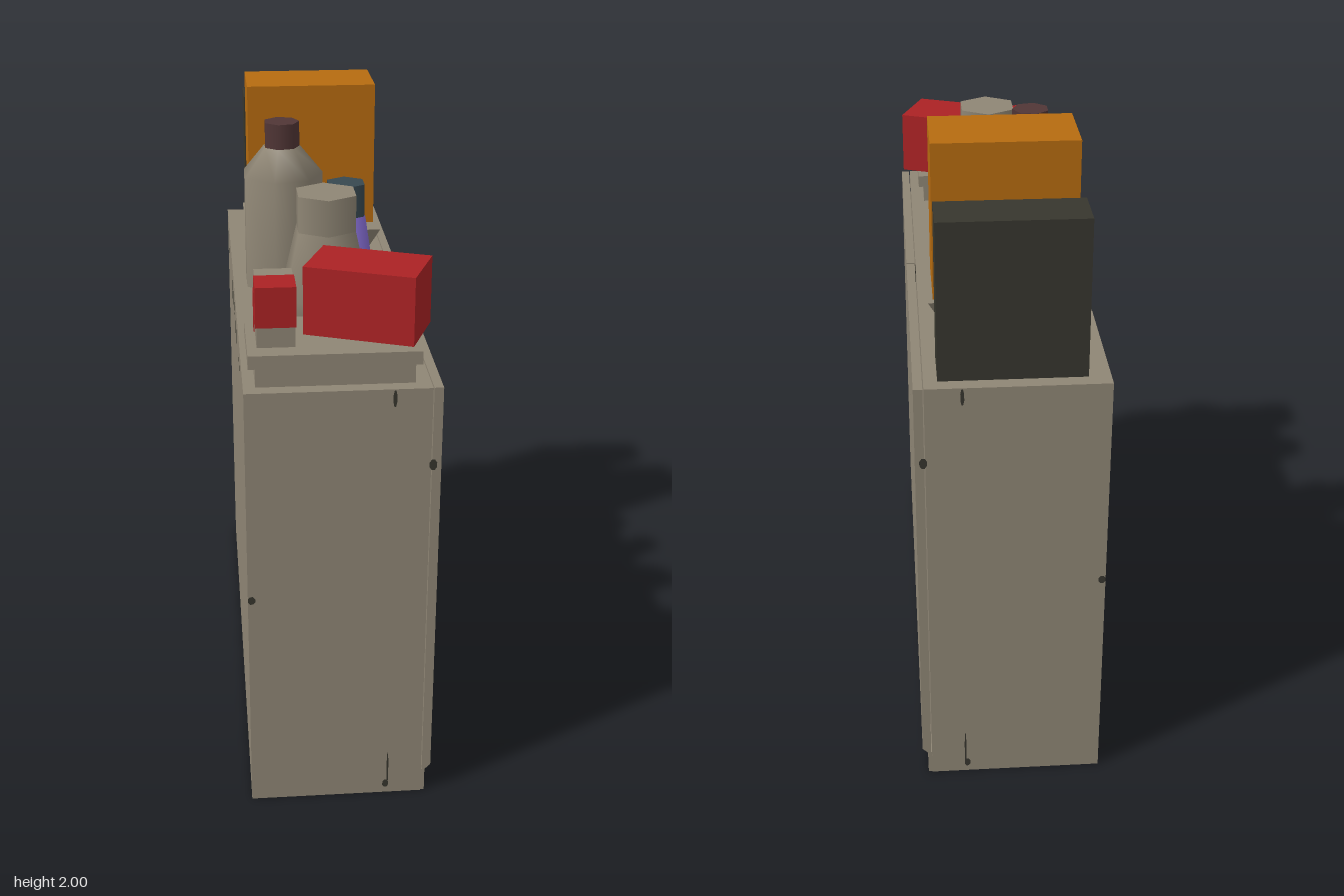
import * as THREE from 'three';

const mat = (name, color) => {
  const m = new THREE.MeshStandardMaterial({ color });
  m.name = name;
  return m;
};

export function createModel() {
  const root = new THREE.Group();
  root.name = 'stockedCabinet';

  const stone = mat('warmGrey', 0x8f8675);
  const dark = mat('charcoal', 0x37362e);
  const orange = mat('orange', 0xb66b10);
  const red = mat('red', 0xab2224);
  const purple = mat('purple', 0x7c65c6);
  const slate = mat('slate', 0x374850);
  const brown = mat('brown', 0x513636);

  const add = (name, geometry, material, parent = root) => {
    const m = new THREE.Mesh(geometry, material);
    m.name = name;
    parent.add(m);
    return m;
  };
  // box given by its minimum and maximum on each axis
  const box = (name, material, x0, x1, y0, y1, z0, z1, parent = root) => {
    const m = add(name, new THREE.BoxGeometry(x1 - x0, y1 - y0, z1 - z0), material, parent);
    m.position.set((x0 + x1) / 2, (y0 + y1) / 2, (z0 + z1) / 2);
    return m;
  };

  // cabinet body and plinth
  box('cabinetBody', stone, -0.285, 0.25, 0, 1.4, -0.875, 0.878);
  box('plinth', stone, 0.25, 0.262, 0, 0.08, -0.872, 0.875);

  // two doors with a bevelled lower edge
  const profile = new THREE.Shape([
    [0.253, 0.08], [0.262, 0.08], [0.28, 0.098], [0.28, 1.4], [0.253, 1.4],
  ].map(([x, y]) => new THREE.Vector2(x, y)));
  const doorGeometry = new THREE.ExtrudeGeometry(profile, { depth: 0.872, bevelEnabled: false });
  add('doorLeft', doorGeometry, stone).position.z = 0.004;
  add('doorRight', doorGeometry, stone).position.z = -0.876;
  box('doorGap', dark, 0.25, 0.256, 0.08, 1.395, -0.004, 0.004);

  // worn chips: flat patches on the cabinet faces
  const chip = (x, y, z, w, h, turn) => {
    const m = add('chip', new THREE.CircleGeometry(0.5, 8, Math.PI / 8), dark);
    m.position.set(x, y, z);
    m.rotation.y = turn;
    m.scale.set(w, h, 1);
  };
  for (const [z, y, w, h] of [
    [0.58, 0.165, 0.057, 0.043], [0.445, 0.165, 0.09, 0.043],
    [-0.44, 0.165, 0.09, 0.043], [-0.575, 0.165, 0.057, 0.043],
    [0.355, 1.145, 0.008, 0.018], [-0.35, 1.145, 0.008, 0.018],
  ]) chip(0.282, y, z, w, h, Math.PI / 2);
  for (const [z, y, w, h] of [
    [-0.53, 1.34, 0.06, 0.04], [-0.21, 1.32, 0.11, 0.07], [0, 1.345, 0.2, 0.05],
    [0.22, 1.325, 0.12, 0.09], [0.54, 1.35, 0.06, 0.04], [-0.86, 0.73, 0.025, 0.03],
  ]) chip(-0.287, y, z, w, h, -Math.PI / 2);
  for (const [x, y, w, h] of [
    [0.142, 1.372, 0.012, 0.055], [0.256, 1.16, 0.024, 0.036],
    [-0.274, 0.73, 0.024, 0.028], [0.137, 0.035, 0.02, 0.03], [0.143, 0.09, 0.006, 0.14],
  ]) {
    chip(x, y, 0.88, w, h, 0);
    chip(x, y, -0.877, w, h, Math.PI);
  }

  // tall boxes
  box('darkBox', dark, -0.22, 0.21, 1.4, 1.88, -0.83, -0.675);
  box('orangeBox', orange, -0.22, 0.21, 1.515, 2, -0.54, -0.295);

  // flared tray under the orange box
  const flared = new THREE.BoxGeometry(0.46, 0.12, 0.36);
  const p = flared.attributes.position;
  for (let i = 0; i < p.count; i++) {
    if (p.getY(i) < 0) p.setXYZ(i, p.getX(i) * 0.74, p.getY(i), p.getZ(i) * 0.7);
  }
  flared.computeVertexNormals();
  add('flaredTray', flared, stone).position.set(-0.005, 1.46, -0.387);

  // bottles: turned body plus a closed straight top
  const bottle = (name, x, z, sides, points, bodyMat, topRadius, y0, y1, topMat) => {
    const g = new THREE.Group();
    g.name = name;
    g.position.set(x, 0, z);
    root.add(g);
    add('bottleBody', new THREE.LatheGeometry(
      points.map(([r, y]) => new THREE.Vector2(r, y)), sides), bodyMat, g);
    add('bottleTop', new THREE.CylinderGeometry(topRadius, topRadius, y1 - y0, sides), topMat, g)
      .position.y = (y0 + y1) / 2;
    return g;
  };
  bottle('largeBottle', -0.12, -0.057, 7,
    [[0.134, 1.4], [0.134, 1.77], [0.06, 1.86]], stone, 0.058, 1.855, 1.94, brown)
    .rotation.y = Math.PI / 2;
  bottle('purpleBottle', 0.077, 0.072, 6,
    [[0.09, 1.4], [0.1, 1.49], [0.07, 1.665], [0, 1.665]], purple, 0.066, 1.66, 1.77, slate);
  bottle('vase', -0.01, 0.352, 6,
    [[0.115, 1.4], [0.151, 1.505], [0.1, 1.71]], stone, 0.1, 1.705, 1.822, stone);

  // stepped tray
  box('steppedTrayFoot', stone, -0.25, 0.205, 1.4, 1.46, 0.565, 0.835);
  box('steppedTrayTop', stone, -0.27, 0.223, 1.46, 1.5, 0.55, 0.847);

  // turned red box
  const redBox = add('redBox', new THREE.BoxGeometry(0.328, 0.205, 0.203), red);
  redBox.position.set(0.085, 1.603, 0.66);
  redBox.rotation.y = -0.375;

  // small carton: grey core with red panels
  const carton = new THREE.Group();
  carton.name = 'carton';
  root.add(carton);
  box('cartonCore', stone, -0.242, -0.132, 1.5, 1.677, 0.62, 0.787, carton);
  box('cartonFrontWrap', red, -0.245, -0.129, 1.56, 1.68, 0.685, 0.79, carton);
  box('cartonBackWrap', red, -0.245, -0.129, 1.5, 1.62, 0.617, 0.66, carton);

  return root;
}
